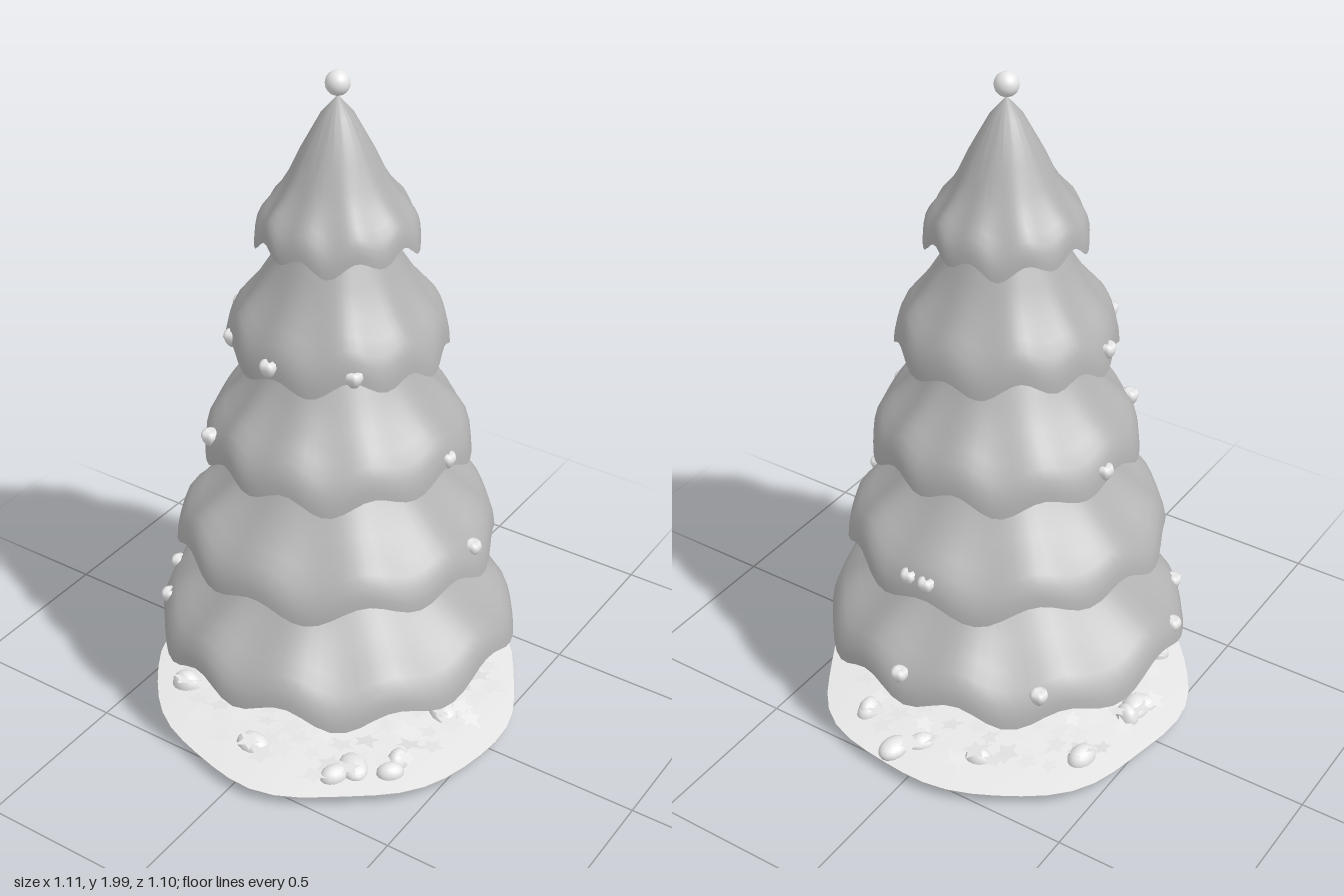
import * as THREE from 'three';
import { mergeVertices, toCreasedNormals } from 'three/addons/utils/BufferGeometryUtils.js';

const foliage = new THREE.MeshStandardMaterial({ color: 0xb2b2b2 });
foliage.name = 'foliage grey';
const pale = new THREE.MeshStandardMaterial({ color: 0xf2f2f2 });
pale.name = 'pale grey';
const paleThin = new THREE.MeshStandardMaterial({ color: 0xf2f2f2, side: THREE.DoubleSide });
paleThin.name = 'pale grey leaf';

// Small seeded generator for the ground litter
let seed = 17;
const rand = (a = 0, b = 1) => {
  seed = (seed * 16807) % 2147483647;
  return a + (b - a) * (seed / 2147483647);
};

function add(parent, name, geometry, material, x = 0, y = 0, z = 0) {
  const mesh = new THREE.Mesh(geometry, material);
  mesh.name = name;
  mesh.position.set(x, y, z);
  parent.add(mesh);
  return mesh;
}

// Lathe from [radius, height] pairs
const lathe = (pairs, segments) =>
  new THREE.LatheGeometry(pairs.map(([r, y]) => new THREE.Vector2(r, y)), segments);

// Moves each vertex by a rule, then welds the seam and smooths all but sharp edges
function bend(geometry, rule, crease = 0.9) {
  const p = geometry.attributes.position;
  const v = new THREE.Vector3();
  for (let i = 0; i < p.count; i++) {
    rule(v.fromBufferAttribute(p, i));
    p.setXYZ(i, v.x, v.y, v.z);
  }
  geometry.deleteAttribute('uv');
  geometry.deleteAttribute('normal');
  return toCreasedNormals(mergeVertices(geometry, 1e-4), crease);
}

// Hollow skirt of branches: concave cone, steep hem and scalloped rim
function tierGeometry(R, h, phase) {
  const outer = [[1, -0.035], [0.992, -0.008], [0.968, 0.025], [0.92, 0.056], [0.84, 0.088],
    [0.72, 0.135], [0.58, 0.205], [0.45, 0.29], [0.2, 0.43], [0, 0.5]];
  const inner = [[0, 0.47], [0.17, 0.425], [0.42, 0.29], [0.7, 0.125], [0.91, 0.045], [0.96, 0.01], [0.99, -0.034]];
  const geometry = lathe([...inner, ...outer].map(([r, y]) => [r * R, y * h]), 80);
  return bend(geometry, (v) => {
    const a = Math.atan2(v.x, v.z);
    const t = Math.hypot(v.x, v.z) / R;
    const wave = Math.cos(10 * a + phase + 0.5 * Math.sin(2 * a + phase));
    const w = Math.pow(t, 3);
    v.y += w * (0.012 * Math.cos(4 * a + phase) - 0.022 * wave) * (0.6 + 0.8 * R);
    const s = 1 + 0.012 * t * t * wave + 0.006 * w * Math.sin(3 * a + phase * 2);
    v.x *= s;
    v.z *= s;
  }, 1.3);
}

// Five-pointed fallen leaf with its stem
function leafGeometry() {
  const shape = new THREE.Shape();
  for (let i = 0; i < 10; i++) {
    const a = (i / 10) * Math.PI * 2;
    const r = i % 2 ? 0.48 : i === 0 ? 1.25 : 0.9;
    shape[i ? 'lineTo' : 'moveTo'](Math.cos(a) * r, Math.sin(a) * r);
  }
  return new THREE.ShapeGeometry(shape).rotateX(-Math.PI / 2);
}

export function createModel() {
  const model = new THREE.Group();
  model.name = 'decoratedTree';

  // Ground patch: pale, gently domed top over a darker flat underside, uneven edge
  const uneven = (v) => {
    const a = Math.atan2(v.x, v.z);
    const s = 1 + 0.014 * Math.sin(5 * a + 1) + 0.012 * Math.sin(8 * a);
    v.x *= s;
    v.z *= s;
  };
  const top = lathe([[0.548, 0.036], [0.55, 0.042], [0.45, 0.054], [0.25, 0.065], [0, 0.07]], 48);
  add(model, 'groundTop', bend(top, uneven), pale);
  add(model, 'groundUnderside', bend(lathe([[0, 0.036], [0.3, 0.036], [0.548, 0.036]], 48), uneven), foliage);

  // Trunk flaring towards the roots
  const trunk = lathe([[0.17, 0.05], [0.15, 0.09], [0.13, 0.15], [0.109, 0.22],
    [0.094, 0.28], [0.082, 0.34], [0.06, 0.45], [0.05, 0.62], [0, 0.64]], 32);
  add(model, 'trunk', bend(trunk, () => {}), pale);

  // Branch tiers from bottom to top: radius, rim height, height scale, scallop phase
  const tiers = [
    [0.522, 0.335, 1, 0],
    [0.456, 0.645, 1, 2.2],
    [0.376, 0.95, 1, 0.7],
    [0.304, 1.265, 1, 3],
    [0.222, 1.57, 0.73, 1.2],
  ];
  const branches = new THREE.Group();
  branches.name = 'branches';
  model.add(branches);
  tiers.forEach(([R, y, h, phase], i) =>
    add(branches, `branchTier${i + 1}`, tierGeometry(R, h, phase), foliage, 0, y));

  // Ball on the tip
  add(model, 'topBall', new THREE.SphereGeometry(0.033, 24, 16), pale, 0, 1.967);

  // Apple-shaped baubles half sunk into the hems
  const bauble = bend(lathe([[0, -0.02], [0.011, -0.023], [0.02, -0.011], [0.026, 0.006],
    [0.022, 0.019], [0.011, 0.023], [0, 0.014]], 16), () => {}, 1.3);
  const spots = [
    [-0.195, 1.265, 0.216], [-0.02, 1.265, 0.295], [0.195, 1.265, 0.216], [-0.293, 1.26, 0.04],
    [-0.237, 0.965, 0.278], [-0.36, 0.955, -0.07], [0.36, 0.96, 0.005],
    [0.427, 0.665, -0.04], [0.035, 0.665, -0.432], [-0.025, 0.665, -0.436],
    [-0.4, 0.36, 0.292], [-0.49, 0.345, 0.13], [0.03, 0.365, -0.5], [-0.345, 0.365, -0.366],
  ];
  const baubles = new THREE.Group();
  baubles.name = 'baubles';
  model.add(baubles);
  spots.forEach((s) => add(baubles, 'bauble', bauble, pale, ...s));

  // Stones sunk through the ground patch
  const stone = new THREE.SphereGeometry(1, 14, 10);
  const litter = new THREE.Group();
  litter.name = 'groundLitter';
  model.add(litter);
  for (let i = 0; i < 17; i++) {
    const a = i === 0 ? 2.99 : i * 2.4 + rand(-0.3, 0.3);
    const r = i === 0 ? 0.49 : rand(0.36, 0.48);
    const size = i === 0 ? 0.045 : rand(0.034, 0.05);
    const high = rand(0.03, 0.046);
    const mesh = add(litter, 'stone', stone, pale, Math.sin(a) * r, 0.052, Math.cos(a) * r);
    mesh.scale.set(size * 1.15, high, size * 0.85);
    mesh.rotation.y = rand(0, 6);
  }

  // Fallen leaves scattered around the trunk
  const leaf = leafGeometry();
  for (let i = 0; i < 120; i++) {
    const a = i * 2.39996;
    const r = 0.17 + 0.31 * Math.sqrt((i + rand()) / 120);
    const mesh = add(litter, 'fallenLeaf', leaf, paleThin,
      Math.sin(a) * r, rand(0.066, 0.092), Math.cos(a) * r);
    mesh.scale.setScalar(rand(0.03, 0.048));
    mesh.rotation.set(rand(-0.25, 0.25), rand(0, 6.28), rand(-0.25, 0.25));
  }
  return model;
}
